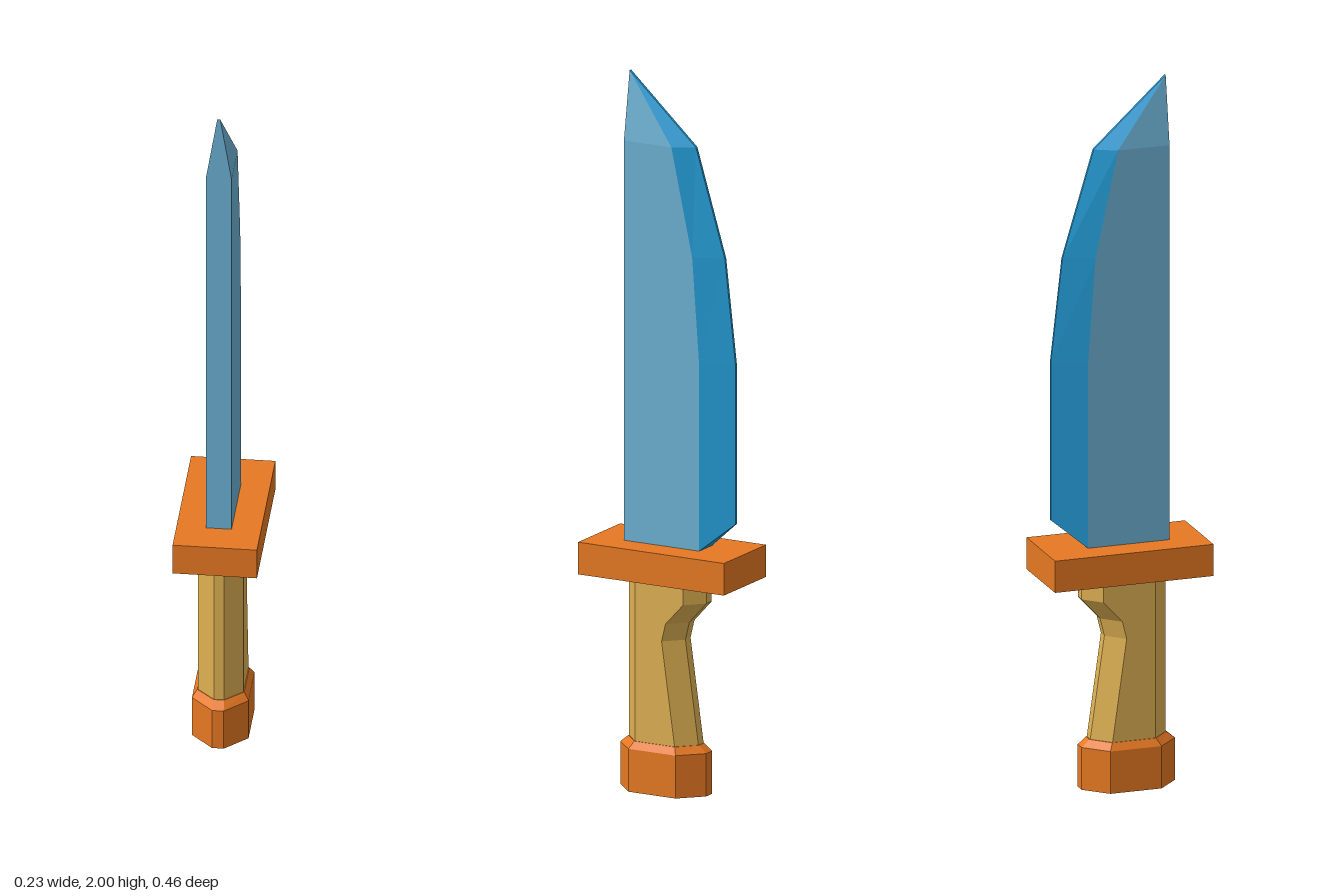
import * as THREE from 'three';

const material = (name, color) => {
  const m = new THREE.MeshStandardMaterial({ color, flatShading: true });
  m.name = name;
  return m;
};

// Mesh from flat polygons, each a counterclockwise list of [x, y, z] corners
function facetMesh(name, mat, polygons) {
  const positions = [];
  for (const p of polygons) {
    for (let i = 1; i < p.length - 1; i++) positions.push(...p[0], ...p[i], ...p[i + 1]);
  }
  const geometry = new THREE.BufferGeometry();
  geometry.setAttribute('position', new THREE.Float32BufferAttribute(positions, 3));
  geometry.computeVertexNormals();
  const mesh = new THREE.Mesh(geometry, mat);
  mesh.name = name;
  return mesh;
}

// Quads joining successive rings, limited to the chosen sides
function loft(rings, sides) {
  const quads = [];
  for (let r = 0; r < rings.length - 1; r++) {
    const lower = rings[r], upper = rings[r + 1];
    for (const i of sides) {
      const j = (i + 1) % lower.length;
      quads.push([lower[i], lower[j], upper[j], upper[i]]);
    }
  }
  return quads;
}

// Chamfered grip section: half width, narrow half width, then z from front to back
const gripRing = (y, w, n, front, frontIn, backIn, back) => [
  [n, y, front], [w, y, frontIn], [w, y, backIn], [n, y, back],
  [-n, y, back], [-w, y, backIn], [-w, y, frontIn], [-n, y, front],
];

function gripPart(name, mat, rings) {
  const polygons = loft(rings, [0, 1, 2, 3, 4, 5, 6, 7]);
  polygons.push([...rings[0]].reverse(), rings[rings.length - 1]);
  return facetMesh(name, mat, polygons);
}

// Blade section: thick spine, bevel line and thin cutting edge
const bladeRing = (w, spineY, bevelY, bevelZ, edgeY, edgeZ) => [
  [w, spineY, 0.13], [w, bevelY, bevelZ], [0.004, edgeY, edgeZ],
  [-0.004, edgeY, edgeZ], [-w, bevelY, bevelZ], [-w, spineY, 0.13],
];

export function createModel() {
  const steel = material('pale steel', 0x6cb0d2);
  const edgeSteel = material('blue edge steel', 0x249cd6);
  const orange = material('orange metal', 0xe67822);
  const tan = material('tan grip', 0xdeb052);

  const model = new THREE.Group();
  model.name = 'knife';

  // Blade
  const rings = [
    bladeRing(0.035, 0.69, 0.69, -0.105, 0.77, -0.2),
    bladeRing(0.035, 1.21, 1.21, -0.105, 1.22, -0.2),
    bladeRing(0.035, 1.51, 1.51, -0.083, 1.51, -0.167),
    bladeRing(0.035, 1.81, 1.81, -0.018, 1.81, -0.077),
    bladeRing(0.004, 2, 2, 0.13, 2, 0.13),
  ];
  const [a, b, c, d, e, f] = rings[0];
  const blade = new THREE.Group();
  blade.name = 'blade';
  blade.add(
    facetMesh('bladeFlats', steel, [...loft(rings, [0, 4, 5]), [f, e, b, a]]),
    facetMesh('bladeEdge', edgeSteel, [...loft(rings, [1, 2, 3]), [e, d, c, b]]),
  );
  model.add(blade);

  // Guard
  const guard = new THREE.Mesh(new THREE.BoxGeometry(0.23, 0.09, 0.456), orange);
  guard.name = 'guard';
  guard.position.y = 0.645;
  model.add(guard);

  // Handle with finger hollow at the back
  const handleProfile = [
    [0.13, -0.045, -0.092], [0.43, -0.003, -0.05], [0.48, -0.015, -0.062],
    [0.54, -0.07, -0.116], [0.61, -0.07, -0.116],
  ];
  model.add(gripPart('handle', tan, handleProfile.map(([y, inner, back]) =>
    gripRing(y, 0.062, 0.014, 0.126, 0.08, inner, back))));

  // Pommel
  model.add(gripPart('pommel', orange, [
    gripRing(0, 0.077, 0.016, 0.152, 0.092, -0.055, -0.116),
    gripRing(0.12, 0.077, 0.016, 0.152, 0.092, -0.055, -0.116),
    gripRing(0.14, 0.064, 0.014, 0.128, 0.081, -0.045, -0.093),
  ]));

  return model;
}
